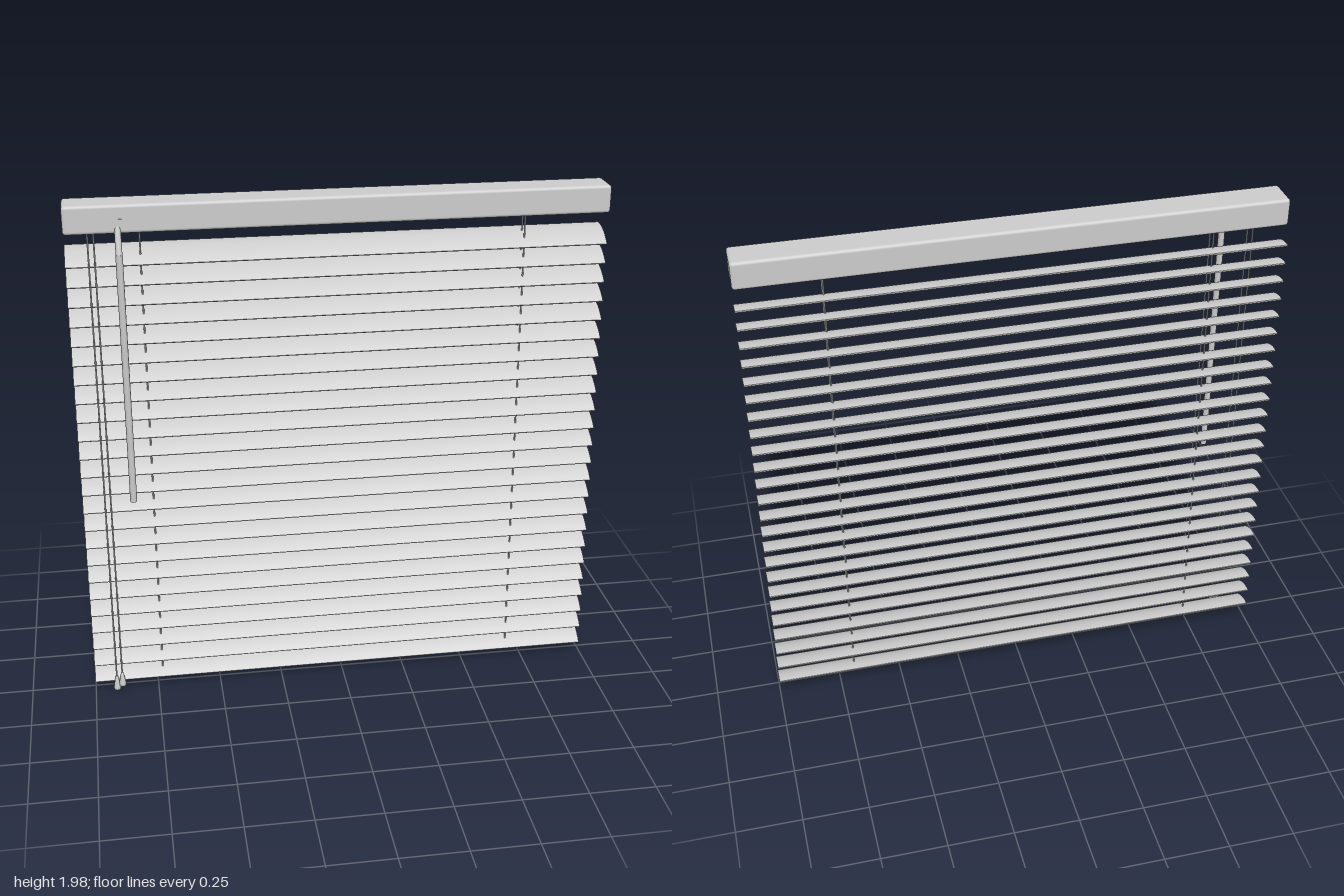
import * as THREE from 'three';
import { toCreasedNormals } from 'three/addons/utils/BufferGeometryUtils.js';
import { RoundedBoxGeometry } from 'three/addons/geometries/RoundedBoxGeometry.js';

const SLATS = 24, PITCH = 0.0748, TOP_SLAT = 1.806;
const material = new THREE.MeshStandardMaterial({ color: 0xcccccc });

function add(parent, name, geometry, x = 0, y = 0, z = 0) {
  const mesh = new THREE.Mesh(geometry, material);
  mesh.name = name;
  mesh.position.set(x, y, z);
  parent.add(mesh);
  return mesh;
}

// Thin vertical cord between two heights
function addCord(parent, name, x, z, y0, y1) {
  add(parent, name, new THREE.CylinderGeometry(0.003, 0.003, y1 - y0, 8), x, (y0 + y1) / 2, z);
}

// Curved slat section (front edge drooping, back edge level), extruded along x
function slatGeometry() {
  const curve = new THREE.QuadraticBezierCurve(
    new THREE.Vector2(-0.034, -0.05), new THREE.Vector2(0.02, 0.005), new THREE.Vector2(0.089, 0));
  const upper = [], lower = [], n = 10;
  for (let i = 0; i <= n; i++) {
    const p = curve.getPoint(i / n), t = curve.getTangent(i / n);
    const normal = new THREE.Vector2(-t.y, t.x).multiplyScalar(0.003);
    upper.push(p.clone().add(normal));
    lower.push(p.clone().sub(normal));
  }
  const shape = new THREE.Shape([...lower, ...upper.reverse()]);
  const geometry = new THREE.ExtrudeGeometry(shape, { depth: 2, bevelEnabled: false });
  geometry.translate(0, 0, -1).rotateY(Math.PI / 2);
  return toCreasedNormals(geometry, 0.6);
}

export function createModel() {
  const model = new THREE.Group();
  model.name = 'venetianBlind';

  // Head rail
  add(model, 'headRail', new RoundedBoxGeometry(2, 0.105, 0.13, 3, 0.012), 0, 1.932, -0.012);

  // Slats
  const slats = new THREE.Group();
  slats.name = 'slats';
  model.add(slats);
  const slat = slatGeometry();
  for (let i = 0; i < SLATS; i++) add(slats, 'slat', slat, 0, TOP_SLAT - i * PITCH, 0);

  // Ladder cords, a front and a back one at each side
  for (const x of [-0.73, 0.69])
    for (const z of [0, -0.037]) addCord(model, 'ladderCord', x, z, 0.05, 1.89);

  // Pull cords with tassels
  const tassel = new THREE.LatheGeometry([
    [0, 0.06], [0.005, 0.06], [0.008, 0.045], [0.014, 0.012], [0.013, 0.002], [0, 0],
  ].map(([r, y]) => new THREE.Vector2(r, y)).reverse(), 16);
  for (const [x, y] of [[-0.915, 0], [-0.893, 0.015]]) {
    addCord(model, 'pullCord', x, 0.042, y + 0.05, 1.89);
    add(model, 'tassel', tassel, x, y, 0.042);
  }

  // Tilt wand, hung on a slanted link from a small bracket on the rail
  add(model, 'wand', new THREE.CylinderGeometry(0.013, 0.013, 0.965, 8), -0.807, 1.328, 0.079);
  const from = new THREE.Vector3(-0.807, 1.805, 0.079), to = new THREE.Vector3(-0.807, 1.905, 0.044);
  const link = add(model, 'wandLink', new THREE.CylinderGeometry(0.012, 0.012, from.distanceTo(to), 8));
  link.position.copy(from).lerp(to, 0.5);
  link.quaternion.setFromUnitVectors(new THREE.Vector3(0, 1, 0), to.clone().sub(from).normalize());
  add(model, 'wandBracket', new THREE.BoxGeometry(0.038, 0.03, 0.02), -0.807, 1.918, 0.045);

  return model;
}
